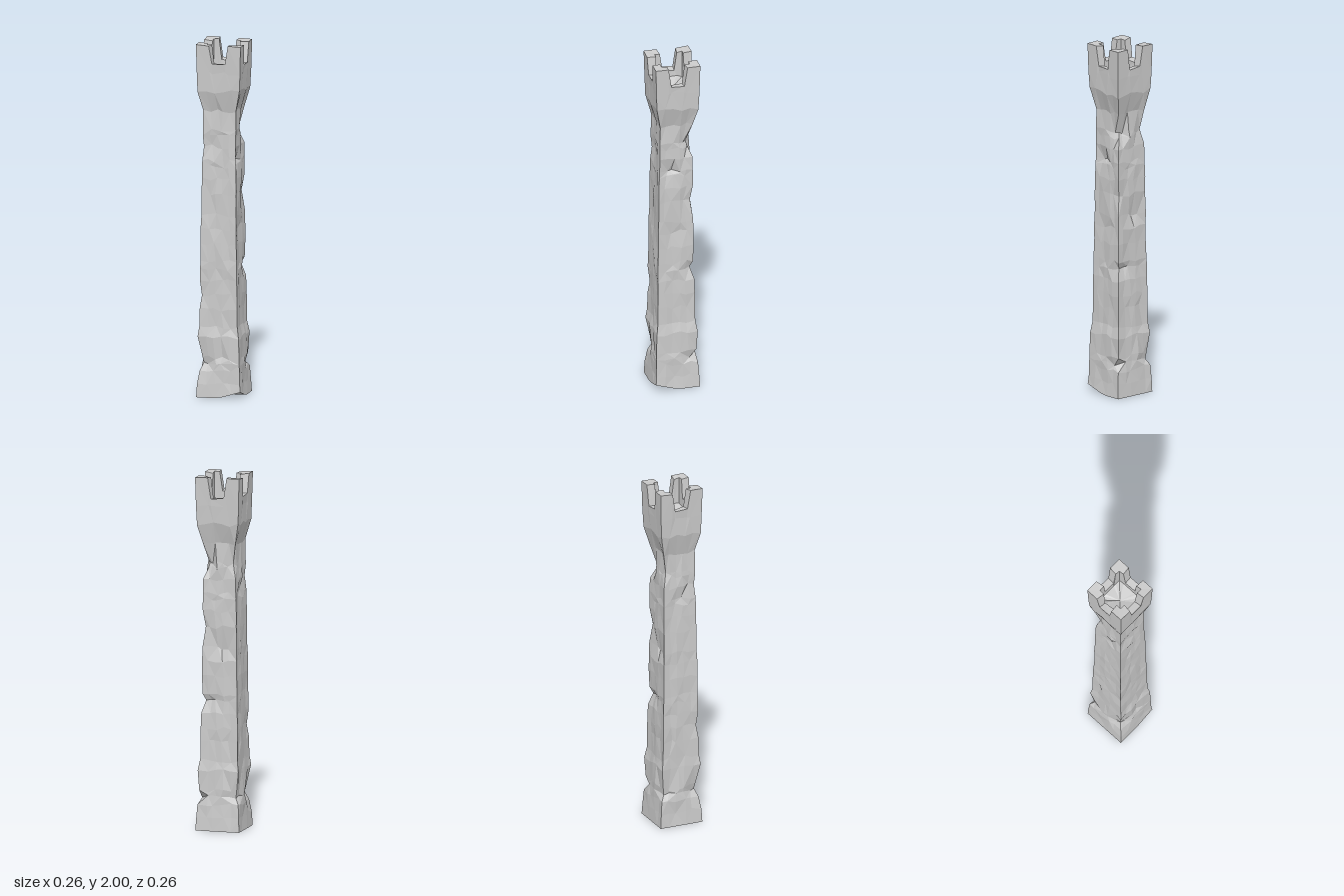
import * as THREE from 'three';

// Small repeatable noise in 0..1
let seed = 7;
function rand() {
  seed = (seed * 16807) % 2147483647;
  return seed / 2147483647;
}

// Outline half-widths by height
const PROFILE = [[0, 0.126], [0.18, 0.122], [0.34, 0.118], [0.4, 0.109], [1, 0.101], [1.62, 0.094], [1.74, 0.122], [2, 0.128]];
function halfWidth(y) {
  const i = Math.max(1, PROFILE.findIndex((p) => p[0] >= y));
  const [y0, w0] = PROFILE[i - 1], [y1, w1] = PROFILE[i];
  return w0 + (w1 - w0) * (y - y0) / (y1 - y0);
}

// Chips knocked out of the masonry: side x, height, side z, reach, depth
const CHIPS = [
  [-1, 0.2, 1, 0.13, 0.035], [0.2, 0.25, 1, 0.07, 0.02], [1, 0.19, -1, 0.08, 0.035], [-1, 0.2, -1, 0.08, 0.03],
  [1, 1.5, -1, 0.09, 0.04], [1, 1.34, 0.4, 0.07, 0.025], [1, 1.15, -0.9, 0.06, 0.02],
  [-0.6, 1.42, 1, 0.08, 0.014], [-0.2, 1.03, -1, 0.08, 0.025], [0.6, 0.73, -1, 0.09, 0.02],
  [1, 0.73, -1, 0.07, 0.016], [-1, 1.34, 0, 0.06, 0.015], [-1, 0.35, -0.3, 0.06, 0.015],
  [-1, 0.58, 1, 0.07, 0.012], [1, 0.96, 0, 0.08, 0.012], [-1, 1.5, -1, 0.07, 0.022],
];

// One square ring of points; make(u, side) gives [half-width, height, position along the side]
const COLS = 5;
function ring(make) {
  const points = [];
  for (let side = 0; side < 4; side++) {
    for (let c = 0; c < COLS; c++) {
      const [w, y, u] = make(c, side);
      let x = u, z = 1;
      for (let k = 0; k < side; k++) [x, z] = [z, -x];
      points.push(new THREE.Vector3(x * w, y, z * w));
    }
  }
  return points;
}

// Skin a stack of rings, alternating the diagonals for an irregular faceted look
function skin(name, rings, material) {
  const n = COLS * 4, pos = [], index = [];
  rings.forEach((r) => r.forEach((p) => pos.push(p.x, p.y, p.z)));
  for (let r = 0; r < rings.length - 1; r++) {
    for (let c = 0; c < n; c++) {
      const a = r * n + c, b = r * n + (c + 1) % n, d = a + n, e = b + n;
      if ((r + c) % 2) index.push(a, b, e, a, e, d);
      else index.push(a, b, d, b, e, d);
    }
  }
  const geo = new THREE.BufferGeometry();
  geo.setAttribute('position', new THREE.Float32BufferAttribute(pos, 3));
  geo.setIndex(index);
  const flat = geo.toNonIndexed();
  flat.computeVertexNormals();
  const mesh = new THREE.Mesh(flat, material);
  mesh.name = name;
  return mesh;
}

export function createModel() {
  seed = 7;
  const group = new THREE.Group();
  group.name = 'tower';
  const stone = new THREE.MeshStandardMaterial({ color: 0xcccccc, flatShading: true });

  // Base ring, with the front corner of the foot broken upward
  const foot = ring((c) => [0.127, 0, -1 + 0.4 * c]);
  foot.forEach((p) => { p.y = 0.04 * Math.max(0, (p.x + p.z) / 0.127 - 1); });
  const centre = ring(() => [0.0001, 0, 0]);

  // Rough shaft rings with chips
  const rows = [0.08, 0.15, 0.19, 0.225, 0.34, 0.4, 0.5, 0.58, 0.66, 0.73, 0.77, 0.87, 0.96, 1.03,
    1.15, 1.24, 1.31, 1.34, 1.42, 1.48, 1.51, 1.62];
  const shaft = rows.map((row) => {
    const r = ring((c) => {
      const corner = c === 0;
      const y = row + (rand() - 0.5) * (corner ? 0.01 : 0.025);
      const w = halfWidth(row) + (corner ? -0.003 : -0.008) * rand() + 0.001;
      return [w, y, -1 + 0.4 * c + (corner ? 0 : (rand() - 0.5) * 0.22)];
    });
    const w = halfWidth(row);
    r.forEach((p) => {
      for (const [x, y, z, reach, depth] of CHIPS) {
        const d = Math.hypot(p.x - x * w, (p.y - y) * 1.6, p.z - z * w);
        const k = 1 - depth * Math.max(0, 1 - d / reach) / w;
        p.x *= k;
        p.z *= k;
      }
      // Slight lean of the middle
      const lean = 0.004 * Math.sin(Math.PI * Math.min(1, row / 1.7));
      p.x -= lean;
      p.z += lean;
    });
    return r;
  });
  group.add(skin('shaft', [centre, foot, ...shaft], stone));

  // Flared crown: four corner merlons with sloping gaps between them
  const gapU = [-1, -0.43, -0.3, 0.3, 0.43], innerU = [-1, -0.62, -0.42, 0.42, 0.62];
  const gap = (c) => c === 2 || c === 3;
  const flare = ring((c) => [halfWidth(1.74) - 0.004 * rand(), 1.735 + (rand() - 0.5) * 0.03, -1 + 0.4 * c]);
  const belt = ring((c) => [0.124 - (c ? 0.004 * rand() : 0), 1.84 + (rand() - 0.5) * 0.02, gapU[c]]);
  const rimY = Array.from({ length: 20 }, (_, i) => (gap(i % 5) ? 1.875 + 0.018 * rand() : 2 - 0.008 * rand()));
  const rim = ring((c, s) => [0.128 - (gap(c) ? 0.004 : 0), rimY[s * 5 + c], gapU[c]]);
  const innerRim = ring((c, s) => [0.083 - 0.006 * rand(), rimY[s * 5 + c] - 0.008 * rand(), innerU[c]]);
  group.add(skin('crown', [shaft[shaft.length - 1], flare, belt, rim, innerRim], stone));

  // Sunken, uneven top platform
  const wallFoot = ring((c) => [0.079, 1.835 + 0.012 * rand(), innerU[c]]);
  const middle = ring(() => [0.0001, 1.815, 0]);
  group.add(skin('platform', [innerRim, wallFoot, middle], stone));

  return group;
}
